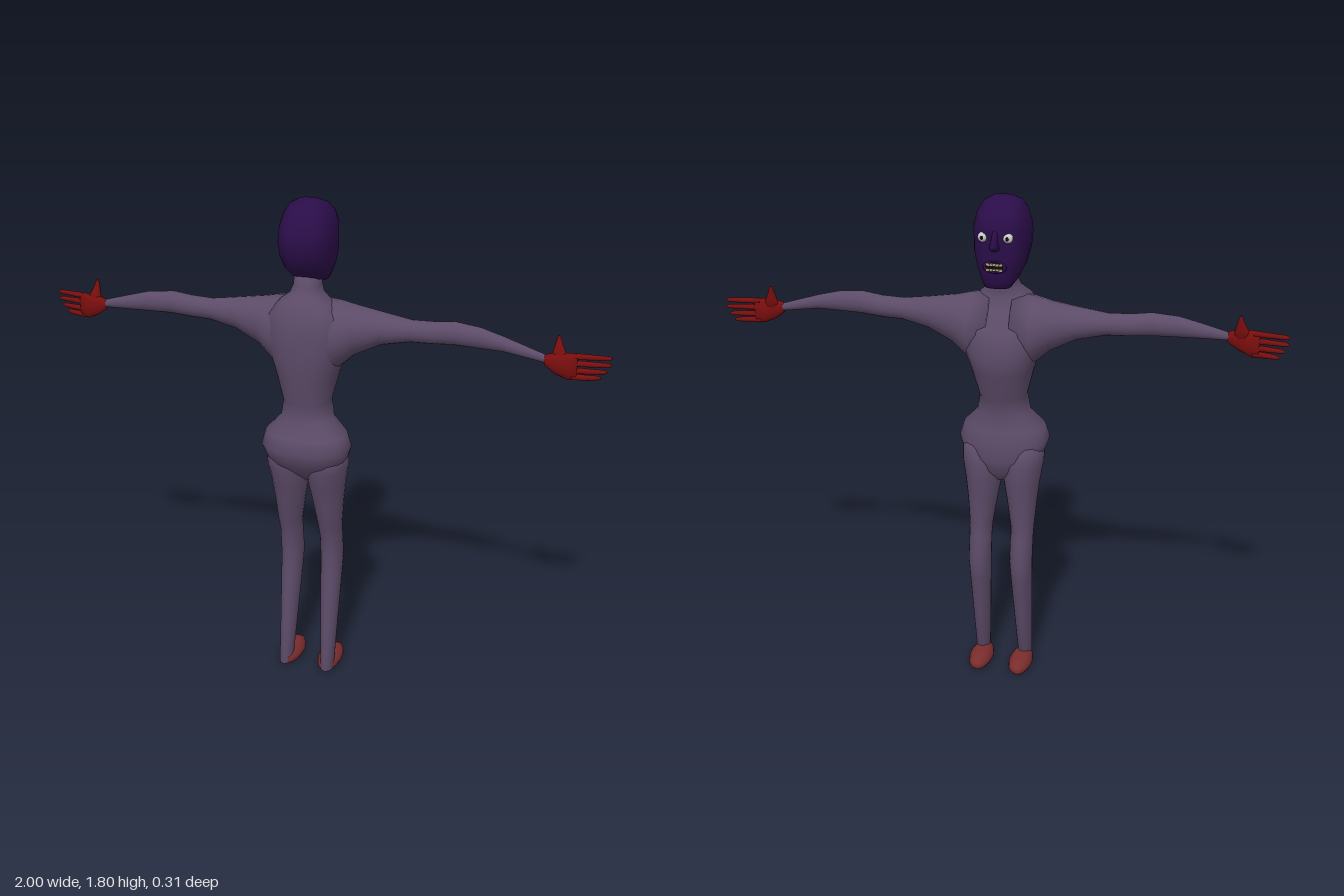
import * as THREE from 'three';

const mat = (color) => new THREE.MeshStandardMaterial({ color, roughness: 0.8, side: THREE.DoubleSide });
const suit = mat(0x5c4b68), mask = mat(0x2a0d48), glove = mat(0x7a0e0e), shoe = mat(0x7a2c2c);
const eyeWhite = mat(0xcccccc), dark = mat(0x100810), tooth = mat(0xb0a878);

// Closed skin through rings [position, lowA, highA, lowB, highB].
// Axis 'y': A is x, B is z. Axis 'x': A is y, B is z. side mirrors x, p squares the section.
function loft(rings, axis, { side = 1, n = 20, p = 2 } = {}) {
  const mid = ([t, a, b, c, d]) => [t, (a + b) / 2, (a + b) / 2, (c + d) / 2, (c + d) / 2];
  const all = [mid(rings[0]), ...rings, mid(rings[rings.length - 1])];
  const pow = (v) => Math.sign(v) * Math.abs(v) ** (2 / p);
  const pos = [], index = [];
  for (const [t, a0, a1, b0, b1] of all) {
    for (let i = 0; i < n; i++) {
      const w = (i / n) * Math.PI * 2;
      const a = (a0 + a1) / 2 + ((a1 - a0) / 2) * pow(Math.cos(w));
      const b = (b0 + b1) / 2 + ((b1 - b0) / 2) * pow(Math.sin(w));
      if (axis === 'y') pos.push(a * side, t, b);
      else pos.push(t * side, a, b);
    }
  }
  // Corner order that keeps faces outward for either axis, direction and side
  const rising = Math.sign(rings[rings.length - 1][0] - rings[0][0]);
  const flip = rising * side * (axis === 'y' ? 1 : -1) < 0;
  for (let r = 0; r < all.length - 1; r++) {
    for (let i = 0; i < n; i++) {
      const a = r * n + i, b = r * n + ((i + 1) % n), c = a + n, d = b + n;
      if (flip) index.push(a, b, c, b, d, c);
      else index.push(a, c, b, b, c, d);
    }
  }
  const g = new THREE.BufferGeometry();
  g.setAttribute('position', new THREE.Float32BufferAttribute(pos, 3));
  g.setIndex(index);
  g.computeVertexNormals();
  return g;
}

function add(parent, name, geometry, material, x = 0, y = 0, z = 0) {
  const m = new THREE.Mesh(geometry, material);
  m.name = name;
  m.position.set(x, y, z);
  parent.add(m);
  return m;
}

// Symmetric ring: height, half width, front z, back z
const sym = ([y, w, front, back]) => [y, -w, w, front, back];

function makeHead() {
  const head = new THREE.Group();
  head.name = 'head';
  add(head, 'skull', loft([
    [1.515, 0.045, -0.105, -0.03], [1.54, 0.063, -0.113, 0.05], [1.58, 0.08, -0.12, 0.1],
    [1.63, 0.092, -0.123, 0.128], [1.68, 0.095, -0.117, 0.135], [1.72, 0.093, -0.122, 0.125],
    [1.76, 0.082, -0.102, 0.1], [1.79, 0.064, -0.06, 0.065], [1.805, 0.035, -0.02, 0.03],
  ].map(sym), 'y', { p: 2.5 }), mask);
  add(head, 'nose', loft([
    [1.645, 0.01, -0.122, -0.1], [1.655, 0.018, -0.145, -0.1],
    [1.668, 0.014, -0.152, -0.1], [1.715, 0.008, -0.124, -0.1],
  ].map(sym), 'y', { n: 8 }), mask);
  for (const s of [-1, 1]) {
    add(head, 'eye', new THREE.SphereGeometry(0.017, 14, 10), eyeWhite, s * 0.043, 1.69, -0.107);
    add(head, 'pupil', new THREE.SphereGeometry(0.007, 8, 6), dark, s * 0.043, 1.69, -0.12);
  }
  // Open mouth with lips and two rows of teeth
  const mouth = add(head, 'mouth', new THREE.SphereGeometry(1, 14, 8), dark, 0, 1.593, -0.113);
  mouth.scale.set(0.036, 0.016, 0.013);
  const lips = add(head, 'lips', new THREE.TorusGeometry(0.034, 0.007, 6, 18), mask, 0, 1.593, -0.118);
  lips.scale.y = 0.55;
  for (let i = -2; i <= 2; i++) {
    for (const s of [-1, 1]) {
      add(head, 'tooth', new THREE.BoxGeometry(0.009, 0.007, 0.006), tooth, i * 0.011, 1.593 + s * 0.009, -0.122);
    }
  }
  return head;
}

function makeHand(side, wrist, y, length) {
  const hand = new THREE.Group();
  hand.name = side > 0 ? 'leftHand' : 'rightHand';
  const k = length / 0.2;
  add(hand, 'palm', loft([
    [-0.005, -0.018, 0.02, 0.016, 0.044], [0.03, -0.043, 0.03, 0.014, 0.05],
    [0.07, -0.06, 0.032, 0.01, 0.045], [0.1, -0.058, 0.032, 0.008, 0.034],
  ], 'x', { side, n: 12 }), glove);
  // Four fingers, shortest at the bottom
  [[0.2, 0.021], [0.2, -0.003], [0.188, -0.028], [0.17, -0.05]].forEach(([tip, h]) => {
    const ring = (x, r, z) => [x * k, h - r, h + r, z - r, z + r];
    add(hand, 'finger', loft([
      ring(0.08, 0.011, 0.023), ring(0.13, 0.01, 0.017),
      ring(tip - 0.012, 0.008, 0.009), ring(tip, 0.004, 0.005),
    ], 'x', { side, n: 8 }), glove);
  });
  // Thumb pointing up
  add(hand, 'thumb', loft([
    [0.0, 0.005, 0.075, 0.014, 0.044], [0.03, 0.018, 0.062, 0.01, 0.04],
    [0.06, 0.024, 0.046, 0.006, 0.028], [0.082, 0.03, 0.038, 0.006, 0.018],
  ], 'y', { side, n: 10 }), glove);
  hand.position.set(side * wrist, y, 0);
  return hand;
}

export function createModel() {
  const model = new THREE.Group();
  const figure = new THREE.Group();
  figure.name = 'figure';
  figure.position.x = -0.033;
  model.add(figure);

  add(figure, 'torso', loft([
    [0.78, 0.025, -0.03, 0.03], [0.82, 0.09, -0.065, 0.08], [0.87, 0.142, -0.08, 0.132],
    [0.93, 0.162, -0.08, 0.155], [0.98, 0.147, -0.066, 0.138], [1.035, 0.095, -0.052, 0.102],
    [1.1, 0.083, -0.07, 0.11], [1.2, 0.108, -0.108, 0.13], [1.28, 0.135, -0.125, 0.14],
    [1.36, 0.148, -0.1, 0.142], [1.42, 0.13, -0.05, 0.132], [1.465, 0.09, -0.035, 0.112],
    [1.49, 0.058, -0.035, 0.09], [1.52, 0.047, -0.04, 0.075], [1.57, 0.045, -0.04, 0.065],
  ].map(sym), 'y', { n: 28, p: 2.3 }), suit);
  figure.add(makeHead());

  for (const side of [-1, 1]) {
    const name = side > 0 ? 'left' : 'right';
    const wrist = side > 0 ? 0.825 : 0.77, drop = side > 0 ? 0.02 : 0;

    add(figure, name + 'Arm', loft([
      [0.04, 1.21, 1.475, -0.09, 0.12], [0.11, 1.225, 1.465, -0.095, 0.115],
      [0.17, 1.28, 1.452, -0.075, 0.085], [0.26, 1.325, 1.438, -0.052, 0.063],
      [0.36, 1.347, 1.424, -0.028, 0.046], [0.44, 1.35, 1.427, -0.025, 0.044],
      [0.51, 1.356, 1.436, -0.022, 0.047], [0.6, 1.356, 1.428, -0.008, 0.047],
      [0.68, 1.356, 1.407, 0.004, 0.046], [wrist, 1.355 - drop, 1.382 - drop, 0.017, 0.042],
    ], 'x', { side }), suit);
    figure.add(makeHand(side, wrist, 1.365 - drop, side > 0 ? 0.208 : 0.197));

    add(figure, name + 'Leg', loft([
      [0.005, 0.058, 0.107, 0.012, 0.083], [0.2, 0.048, 0.112, -0.03, 0.06],
      [0.38, 0.039, 0.117, -0.067, 0.038], [0.46, 0.036, 0.119, -0.082, 0.03],
      [0.55, 0.036, 0.119, -0.065, 0.036], [0.6, 0.034, 0.12, -0.06, 0.055],
      [0.7, 0.018, 0.128, -0.065, 0.077], [0.78, 0.004, 0.137, -0.074, 0.098],
      [0.85, 0.0, 0.148, -0.08, 0.118], [0.92, 0.01, 0.15, -0.065, 0.12],
    ], 'y', { side }), suit);
    add(figure, name + 'Shoe', loft([
      [0, 0.04, 0.115, -0.09, 0.07], [0.012, 0.034, 0.121, -0.102, 0.079],
      [0.028, 0.036, 0.119, -0.098, 0.076], [0.042, 0.048, 0.108, -0.07, 0.055],
      [0.048, 0.06, 0.095, -0.04, 0.03],
    ], 'y', { side }), shoe);
  }
  return model;
}
